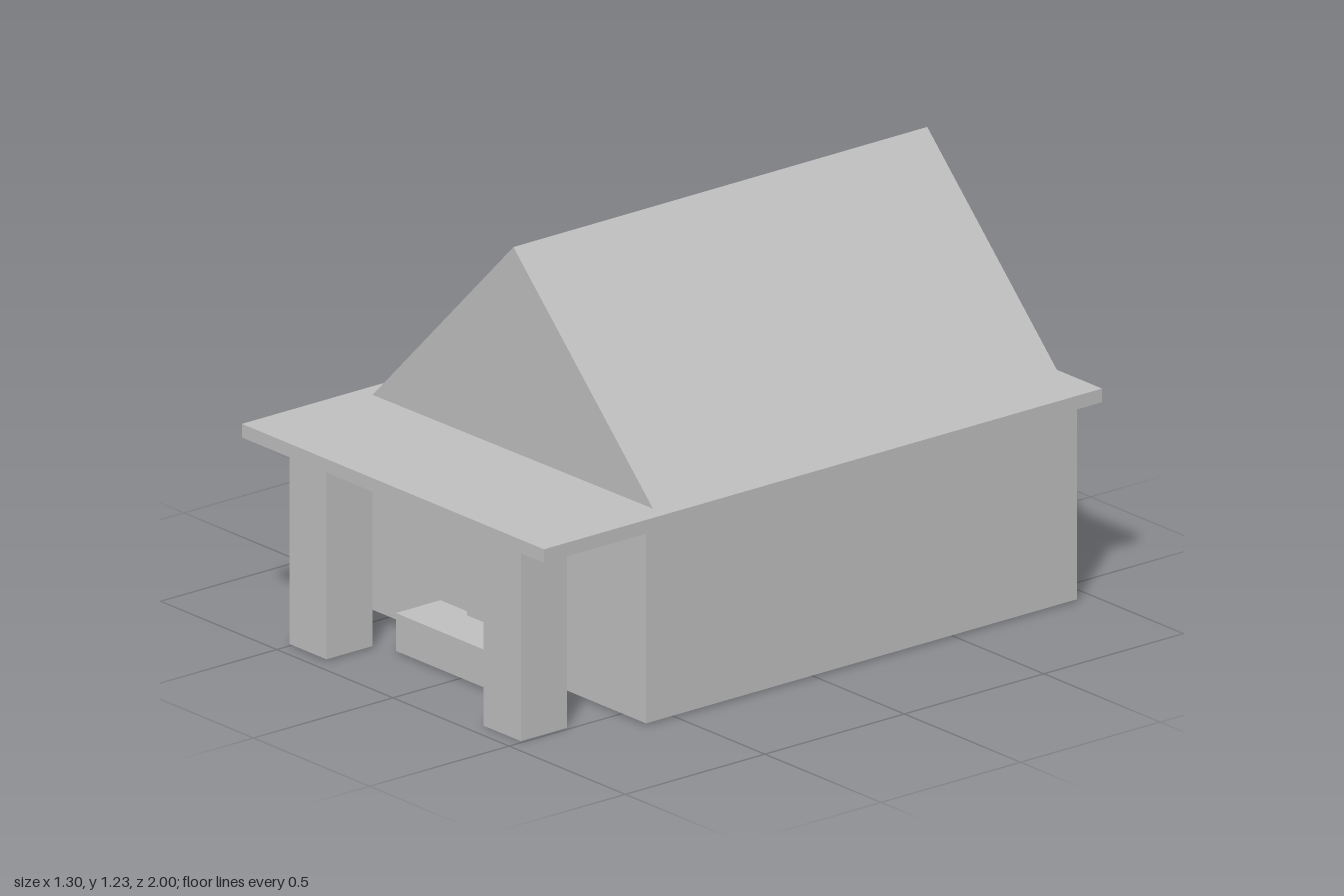
import * as THREE from 'three';

export function createModel() {
  const house = new THREE.Group();
  house.name = 'house';
  const grey = new THREE.MeshStandardMaterial({ color: 0xbfbfbf });
  grey.name = 'plain grey';

  const add = (name, geometry) => {
    const mesh = new THREE.Mesh(geometry, grey);
    mesh.name = name;
    house.add(mesh);
    return mesh;
  };
  // Box given by its lower and upper limits on each axis
  const box = (name, [x0, x1], [y0, y1], [z0, z1]) =>
    add(name, new THREE.BoxGeometry(x1 - x0, y1 - y0, z1 - z0))
      .position.set((x0 + x1) / 2, (y0 + y1) / 2, (z0 + z1) / 2);

  // Main body and the slab that also covers the porch
  box('walls', [-0.615, 0.615], [0.006, 0.58], [-0.94, 0.605]);
  box('ceilingSlab', [-0.65, 0.65], [0.58, 0.62], [-1, 1]);

  // Porch posts
  box('rightPost', [-0.5, -0.34], [0.006, 0.572], [0.79, 0.955]);
  box('leftPost', [0.33, 0.49], [0, 0.58], [0.785, 0.95]);

  // Entrance
  box('step', [-0.27, 0.27], [0.006, 0.117], [0.605, 0.765]);
  box('door', [-0.13, 0.125], [0.117, 0.466], [0.605, 0.626]);

  // Oval ring handle
  const handle = add('doorHandle', new THREE.TorusGeometry(0.025, 0.007, 12, 32));
  handle.scale.set(1, 0.6, 1.6);
  handle.position.set(0.081, 0.287, 0.637);

  // Solid gable roof, turned very slightly about the vertical
  const gable = new THREE.Shape([
    new THREE.Vector2(-0.6, 0.621),
    new THREE.Vector2(0.601, 0.626),
    new THREE.Vector2(0.003, 1.225),
  ]);
  const roofGeometry = new THREE.ExtrudeGeometry(gable, { depth: 1.488, bevelEnabled: false });
  roofGeometry.translate(0, 0, -0.744);
  const roof = add('roof', roofGeometry);
  roof.rotation.y = 0.004;
  roof.position.set(0.002, 0, -0.169);

  return house;
}
